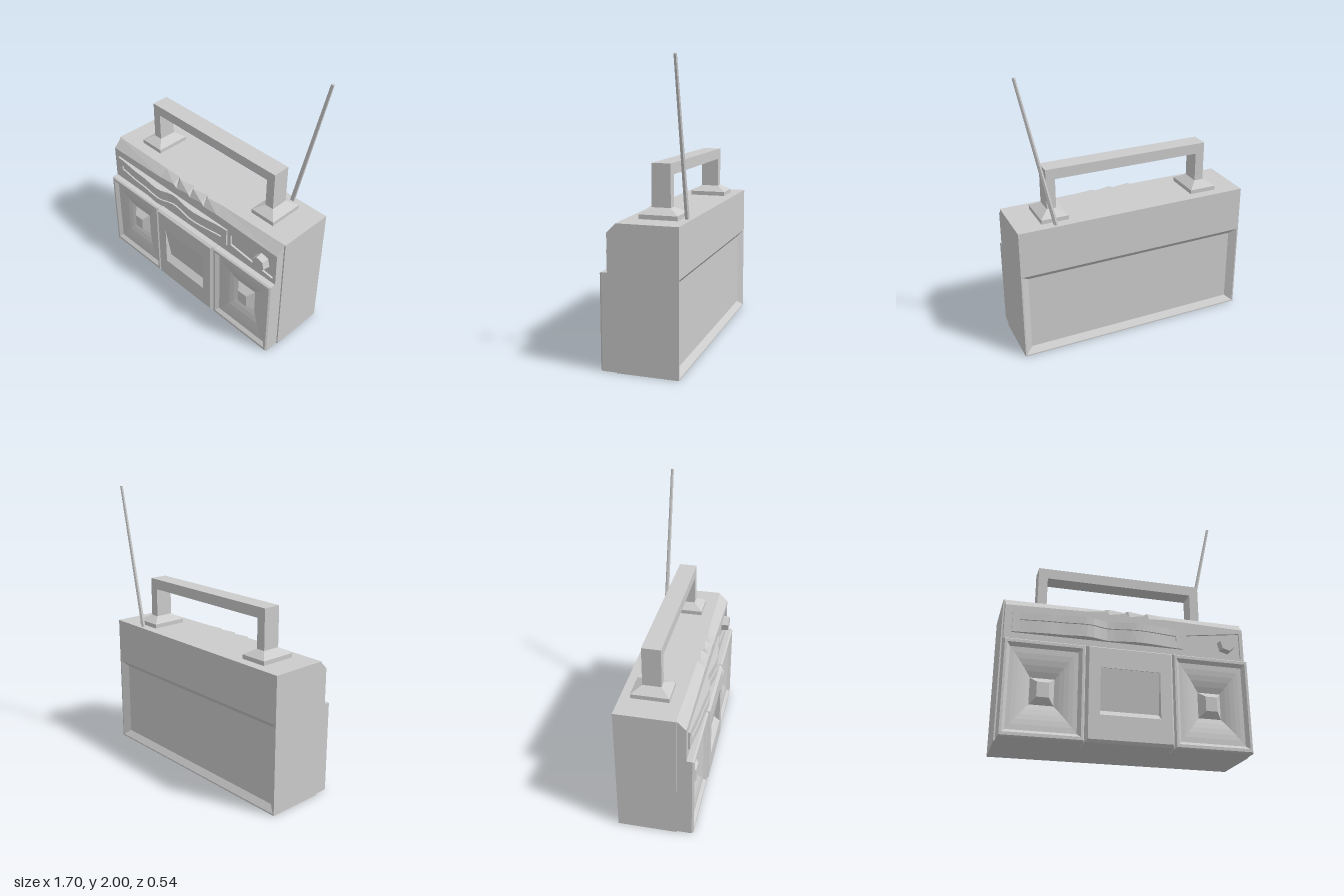
import * as THREE from 'three';

const material = new THREE.MeshStandardMaterial({ color: 0xcccccc, flatShading: true });

function add(parent, name, geometry, x = 0, y = 0, z = 0) {
  const mesh = new THREE.Mesh(geometry, material);
  mesh.name = name;
  mesh.position.set(x, y, z);
  parent.add(mesh);
  return mesh;
}

function fromTriangles(points) {
  const g = new THREE.BufferGeometry();
  g.setAttribute('position', new THREE.Float32BufferAttribute(points.flat(), 3));
  g.computeVertexNormals();
  return g;
}

// Joins rectangles [x0, x1, y0, y1, zBottom, zTop] one after another, facing +z, and caps the last
function rectLoft(rings) {
  const loops = rings.map(([x0, x1, y0, y1, zb, zt = zb]) =>
    [[x0, y0, zb], [x1, y0, zb], [x1, y1, zt], [x0, y1, zt]]);
  const tris = [];
  const quad = (a, b, c, d) => tris.push(a, b, c, a, c, d);
  for (let i = 0; i + 1 < loops.length; i++) {
    const p = loops[i], q = loops[i + 1];
    for (let k = 0; k < 4; k++) {
      const n = (k + 1) % 4;
      quad(p[k], p[n], q[n], q[k]);
    }
  }
  quad(...loops[loops.length - 1]);
  return fromTriangles(tris);
}

// Speaker: bevelled frame, flared recess and a raised pyramid centre
function speakerGeometry() {
  const ring = (hw, hh, z) => [-hw, hw, 0.325 - hh, 0.325 + hh, z];
  const rings = [
    ring(0.27, 0.325, 0.14), ring(0.27, 0.325, 0.25), ring(0.262, 0.317, 0.262),
    ring(0.247, 0.297, 0.262), ring(0.225, 0.275, 0.238)
  ];
  for (let i = 1; i <= 5; i++) {
    const t = i / 5;
    rings.push(ring(0.225 - 0.145 * t, 0.275 - 0.185 * t, 0.238 - 0.05 * t * t));
  }
  rings.push(ring(0.04, 0.05, 0.235));
  return rectLoft(rings);
}

// Top front edge stations: x, lower y, upper z; the saw teeth are the buttons
const EDGE = [
  [-0.84, 0.905, 0.145], [-0.3, 0.918, 0.15], [-0.16, 0.935, 0.15], [-0.13, 0.912, 0.17],
  [-0.01, 0.935, 0.148], [0.01, 0.912, 0.175], [0.13, 0.935, 0.15], [0.15, 0.912, 0.17],
  [0.28, 0.92, 0.155], [0.84, 0.905, 0.145]
];

function topEdgeGeometry() {
  const tris = [];
  const section = ([x, y, z]) => [[x, 0.97, 0.14], [x, 0.97, z], [x, y, 0.21], [x, 0.8, 0.14]];
  for (let i = 0; i + 1 < EDGE.length; i++) {
    const p = section(EDGE[i]), q = section(EDGE[i + 1]);
    for (let k = 0; k < 2; k++) tris.push(p[k], p[k + 1], q[k + 1], p[k], q[k + 1], q[k]);
  }
  const [a, b, c, d] = section(EDGE[0]);
  const [e, f, g, h] = section(EDGE[EDGE.length - 1]);
  tris.push(a, c, b, a, d, c, e, f, g, e, g, h);
  return fromTriangles(tris);
}

// Upper front plate with the opening for the dial
function upperPlateGeometry() {
  const shape = new THREE.Shape([
    new THREE.Vector2(-0.84, 0.65), new THREE.Vector2(0.84, 0.65),
    ...EDGE.slice().reverse().map(([x, y]) => new THREE.Vector2(x, y))
  ]);
  shape.holes.push(new THREE.Path([
    new THREE.Vector2(0.42, 0.73), new THREE.Vector2(0.42, 0.82),
    new THREE.Vector2(0.815, 0.875), new THREE.Vector2(0.815, 0.685)
  ]));
  return new THREE.ExtrudeGeometry(shape, { depth: 0.07, bevelEnabled: false });
}

// Front surface of the wavy tuner panel
const WAVE = [[-0.79, 0.225], [-0.5, 0.248], [-0.28, 0.265], [-0.15, 0.229], [0.07, 0.255], [0.39, 0.222]];
function waveZ(x) {
  let i = 0;
  while (i < WAVE.length - 2 && x > WAVE[i + 1][0]) i++;
  const [x0, z0] = WAVE[i], [x1, z1] = WAVE[i + 1];
  return z0 + (z1 - z0) * THREE.MathUtils.smoothstep(x, x0, x1);
}

function waveBar(x0, x1, y0, y1, inset = 0) {
  const g = new THREE.BoxGeometry(x1 - x0, y1 - y0, 0.1, 24, 1, 1);
  g.translate((x0 + x1) / 2, (y0 + y1) / 2, 0);
  const p = g.attributes.position;
  for (let i = 0; i < p.count; i++) p.setZ(i, p.getZ(i) > 0 ? waveZ(p.getX(i)) - inset : 0.2);
  g.computeVertexNormals();
  return g;
}

export function createModel() {
  const model = new THREE.Group();
  model.name = 'portableRadio';

  // Case with the sunken back panel
  const body = add(model, 'case', rectLoft([
    [0, 0, 0.5, 0.5, -0.145], [-0.85, 0.85, 0, 0.97, -0.145], [-0.85, 0.85, 0, 0.97, 0.27],
    [-0.84, 0.84, 0.01, 0.64, 0.27], [-0.79, 0.79, 0.05, 0.6, 0.235]
  ]));
  body.rotation.y = Math.PI;

  // Upper front
  add(model, 'topEdgeWithButtons', topEdgeGeometry());
  add(model, 'upperPlate', upperPlateGeometry(), 0, 0, 0.14);
  add(model, 'dialFloor', new THREE.BoxGeometry(0.41, 0.2, 0.04), 0.617, 0.78, 0.175);
  const knob = add(model, 'dialKnob', new THREE.CylinderGeometry(0.055, 0.062, 0.055, 6), 0.71, 0.775, 0.22);
  knob.rotation.set(Math.PI / 2, 0.25, 0);

  // Tuner panel with its slot
  const tuner = new THREE.Group();
  tuner.name = 'tunerPanel';
  model.add(tuner);
  add(tuner, 'tunerTop', waveBar(-0.79, 0.39, 0.8, 0.85));
  add(tuner, 'tunerBottom', waveBar(-0.79, 0.39, 0.71, 0.76));
  add(tuner, 'tunerRightEnd', waveBar(-0.79, -0.74, 0.76, 0.8));
  add(tuner, 'tunerLeftEnd', waveBar(0.34, 0.39, 0.76, 0.8));
  add(tuner, 'tunerSlot', waveBar(-0.74, 0.34, 0.76, 0.8, 0.012));

  // Lower front: two speakers and the cassette door with its sloping window
  const speaker = speakerGeometry();
  add(model, 'rightSpeaker', speaker, -0.57);
  add(model, 'leftSpeaker', speaker, 0.57);
  add(model, 'cassetteDoor', rectLoft([
    [-0.295, 0.295, 0, 0.65, 0.14], [-0.295, 0.295, 0, 0.65, 0.25], [-0.28, 0.28, 0.018, 0.638, 0.27],
    [-0.203, 0.203, 0.18, 0.5, 0.27], [-0.2, 0.2, 0.22, 0.499, 0.225, 0.268]
  ]));

  // Handle with a tapered foot under each post
  const handle = new THREE.Group();
  handle.name = 'handle';
  model.add(handle);
  const foot = rectLoft([
    [-0.098, 0.098, -0.063, 0.2, 0.96], [-0.098, 0.098, -0.063, 0.2, 1.0],
    [-0.034, 0.034, 0.003, 0.133, 1.04]
  ]);
  for (const [side, s] of [['right', -1], ['left', 1]]) {
    add(handle, side + 'HandleFoot', foot, s * 0.568).rotation.x = -Math.PI / 2;
    add(handle, side + 'HandlePost', new THREE.BoxGeometry(0.066, 0.24, 0.13), s * 0.568, 1.13, -0.068);
  }
  add(handle, 'handleBar', new THREE.BoxGeometry(1.202, 0.075, 0.13), 0, 1.287, -0.068);

  // Leaning aerial
  const from = new THREE.Vector3(0.573, 0.95, -0.236), to = new THREE.Vector3(0.805, 1.997, -0.232);
  const dir = to.clone().sub(from);
  const aerial = add(model, 'aerial', new THREE.CylinderGeometry(0.011, 0.016, dir.length(), 6));
  aerial.position.copy(from).add(to).multiplyScalar(0.5);
  aerial.quaternion.setFromUnitVectors(new THREE.Vector3(0, 1, 0), dir.normalize());

  return model;
}
